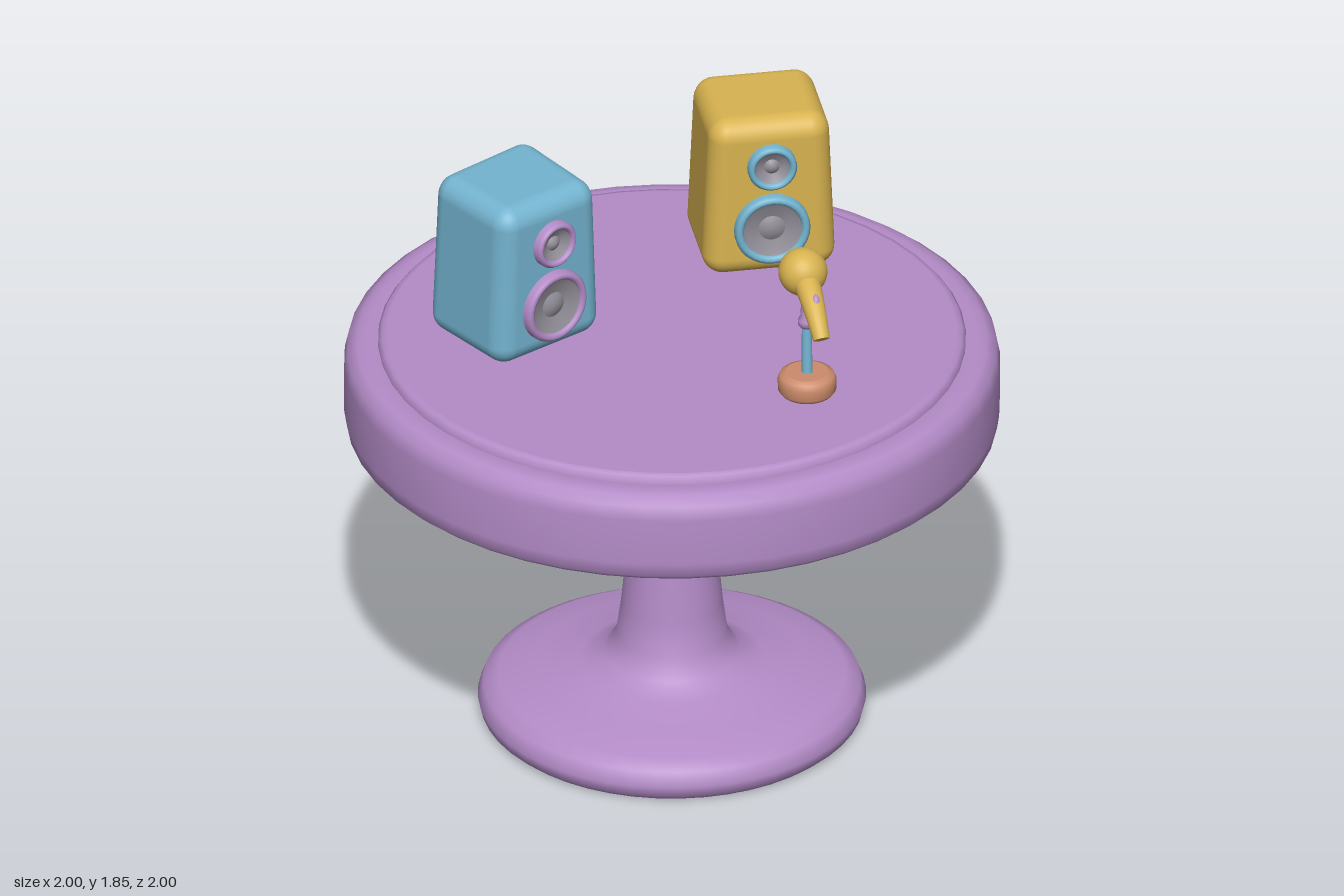
import * as THREE from 'three';
import { RoundedBoxGeometry } from 'three/addons/geometries/RoundedBoxGeometry.js';

const mat = (name, color) => {
  const m = new THREE.MeshStandardMaterial({ color });
  m.name = name;
  return m;
};

// Lathe from [radius, height] pairs; a repeated pair makes a sharp edge
const lathe = (pairs, segments) =>
  new THREE.LatheGeometry(pairs.map(([r, y]) => new THREE.Vector2(r, y)), segments);

function add(parent, name, geometry, material, x = 0, y = 0, z = 0) {
  const mesh = new THREE.Mesh(geometry, material);
  mesh.name = name;
  mesh.position.set(x, y, z);
  parent.add(mesh);
  return mesh;
}

export function createModel() {
  const purple = mat('purple', 0xb48cc8);
  const yellow = mat('yellow', 0xd8b350);
  const blue = mat('blue', 0x74b4d0);
  const orange = mat('terracotta', 0xcc8c6c);
  const grey = mat('grey', 0x928e98);

  const model = new THREE.Group();
  model.name = 'tableWithSpeakers';

  // Pedestal table: foot, column and underside
  add(model, 'pedestal', lathe([
    [0, 0], [0.56, 0], [0.56, 0], [0.583, 0.02], [0.592, 0.055], [0.575, 0.1], [0.53, 0.125],
    [0.42, 0.148], [0.28, 0.178], [0.21, 0.21], [0.17, 0.27], [0.155, 0.38],
    [0.12, 0.75], [0.127, 0.83], [0.16, 0.885], [0.22, 0.925], [0.32, 0.95],
    [0.6, 0.975], [0.93, 1.0],
  ], 48), purple);

  // Table top: rounded rim with a slightly raised disc inside it
  add(model, 'tableRim', lathe([
    [0.93, 1.0], [0.97, 1.005], [0.993, 1.025], [1.0, 1.07], [1.0, 1.22], [0.99, 1.265],
    [0.96, 1.288], [0.93, 1.293], [0.9, 1.29], [0.87, 1.285],
  ], 48), purple);
  add(model, 'tableDisc', lathe([
    [0.896, 1.28], [0.896, 1.3], [0.885, 1.314], [0.87, 1.318], [0.87, 1.318], [0, 1.318],
  ], 48), purple);

  // Loudspeaker cabinet, narrowing towards the top
  const H = 0.535;
  function makeSpeaker(name, cabinetMat, ringMat, pullCorner) {
    const speaker = new THREE.Group();
    speaker.name = name;
    const box = new RoundedBoxGeometry(0.41, H, 0.37, 6, 0.065);
    const p = box.attributes.position;
    for (let i = 0; i < p.count; i++) {
      const t = p.getY(i) / H + 0.5;
      let x = p.getX(i) * (1 - 0.11 * t * t);
      let z = p.getZ(i);
      if (z < 0) z *= 1 - 0.06 * t;
      // a rear corner drawn out to a soft point
      if (pullCorner && x > 0.1 && z < -0.1) { x += 0.012; z -= 0.012; }
      p.setXYZ(i, x, p.getY(i), z);
    }
    add(speaker, 'cabinet', box, cabinetMat, 0, H / 2, 0);

    // Drivers: raised ring around a dished cone with a dome
    for (const [label, y, r, w] of [['woofer', 0.17, 0.117, 0.028], ['tweeter', 0.385, 0.076, 0.024]]) {
      const driver = new THREE.Group();
      driver.name = label;
      driver.position.set(0, y, 0.185);
      driver.rotation.x = Math.PI / 2;
      speaker.add(driver);
      add(driver, label + 'Ring', lathe([
        [r, -0.02], [r, 0.018], [r - 0.006, 0.027], [r - w / 2, 0.031],
        [r - w + 0.005, 0.027], [r - w, 0.018], [r - w, 0],
      ], 32), ringMat);
      const c = r - w + 0.002;
      add(driver, label + 'Cone', lathe([
        [c, 0.02], [c * 0.8, 0.012], [c * 0.45, 0.003], [c * 0.45, 0.003],
        [c * 0.3, 0.01], [c * 0.15, 0.014], [0, 0.015],
      ], 32), grey);
    }
    model.add(speaker);
    return speaker;
  }

  makeSpeaker('yellowSpeaker', yellow, blue, false).position.set(0.36, 1.318, -0.47);
  const left = makeSpeaker('blueSpeaker', blue, purple, true);
  left.position.set(-0.47, 1.318, -0.1);
  left.rotation.y = THREE.MathUtils.degToRad(29);

  // Microphone on a small desk stand
  const mic = new THREE.Group();
  mic.name = 'microphone';
  model.add(mic);
  add(mic, 'standBase', lathe([
    [0, 0], [0.08, 0], [0.089, 0.012], [0.09, 0.045], [0.083, 0.062], [0.065, 0.07], [0.065, 0.07], [0, 0.07],
  ], 28), orange, 0.34, 1.318, 0.433);
  const stem = add(mic, 'standStem', new THREE.CylinderGeometry(0.015, 0.017, 0.19, 16), blue, 0.34, 1.47, 0.43);
  stem.rotation.x = -0.05;
  const clip = add(mic, 'standClip', lathe([
    [0, 0], [0.018, 0], [0.027, 0.012], [0.027, 0.025], [0.019, 0.04], [0.016, 0.09],
    [0.024, 0.105], [0.024, 0.13], [0, 0.14],
  ], 18), purple, 0.34, 1.54, 0.427);
  clip.rotation.x = -0.05;
  add(mic, 'micHead', new THREE.SphereGeometry(0.075, 28, 20), yellow, 0.336, 1.71, 0.383);

  // Curved handle: a tube whose rings shrink along the path
  const path = new THREE.QuadraticBezierCurve3(
    new THREE.Vector3(0.338, 1.7, 0.4), new THREE.Vector3(0.345, 1.685, 0.5), new THREE.Vector3(0.357, 1.583, 0.586));
  const steps = 14, sides = 20;
  const tube = new THREE.TubeGeometry(path, steps, 0.044, sides);
  const tp = tube.attributes.position, v = new THREE.Vector3();
  for (let i = 0; i < tp.count; i++) {
    const t = Math.floor(i / (sides + 1)) / steps;
    const c = path.getPointAt(t);
    v.fromBufferAttribute(tp, i).sub(c).multiplyScalar(1 - 0.42 * t).add(c);
    tp.setXYZ(i, v.x, v.y, v.z);
  }
  add(mic, 'micHandle', tube, yellow);
  const end = path.getPointAt(1);
  const cap = add(mic, 'handleEnd', new THREE.CircleGeometry(0.0256, sides), yellow, end.x, end.y, end.z);
  cap.lookAt(end.clone().add(path.getTangentAt(1)));

  // Switch on the upper side of the handle
  const button = add(mic, 'micSwitch', new THREE.SphereGeometry(0.014, 14, 10), purple, 0.352, 1.685, 0.518);
  button.scale.set(0.8, 0.6, 1.3);
  button.rotation.x = 0.75;

  return model;
}
